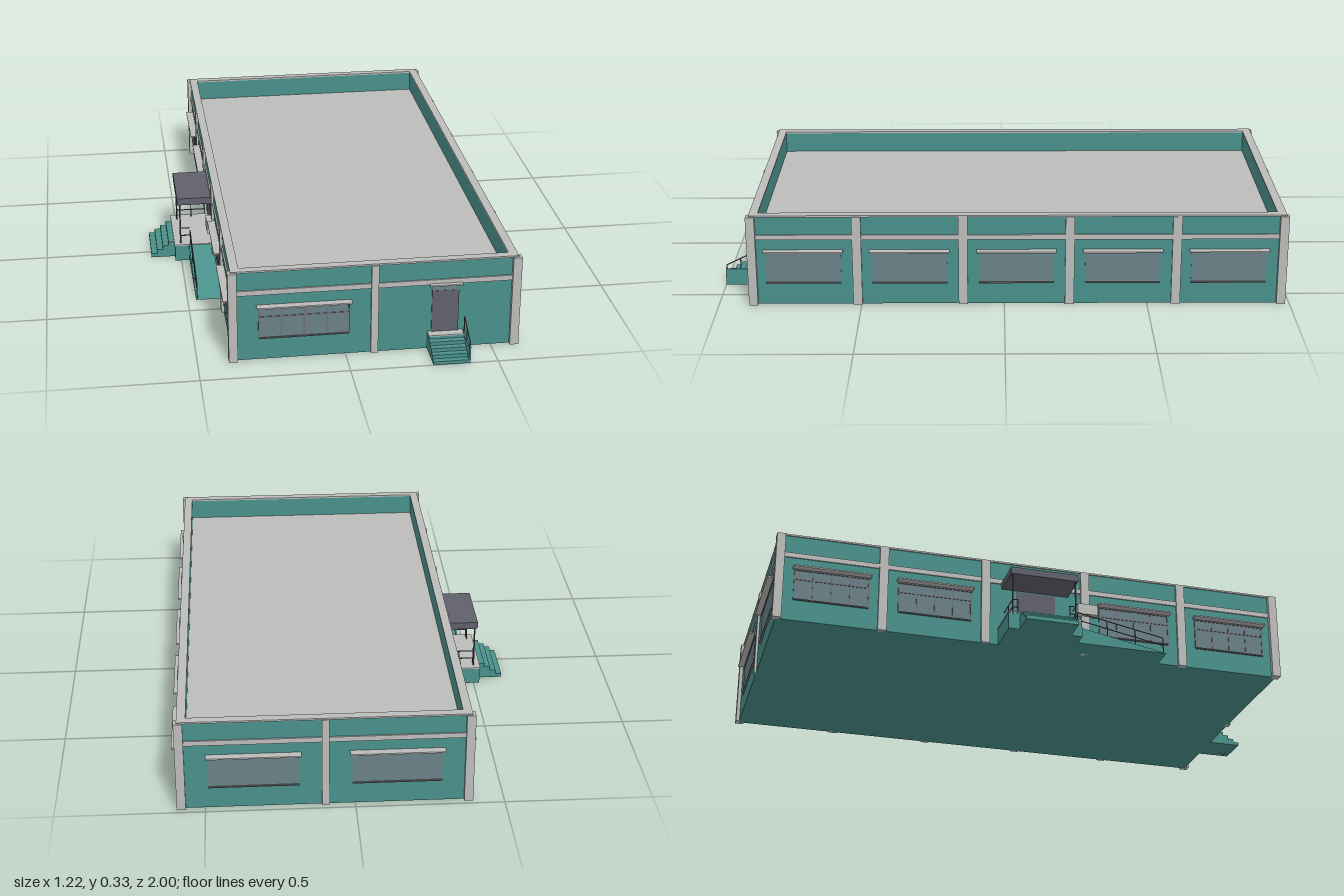
import * as THREE from 'three';

const mat = (name, color, side = THREE.FrontSide) => {
  const m = new THREE.MeshStandardMaterial({ color, side });
  m.name = name;
  return m;
};

export function createModel() {
  const teal = mat('teal wall', 0x4a918b);
  const grey = mat('light grey trim', 0xbcbdbb);
  const slate = mat('dark slate', 0x5f606b);
  const glass = mat('window glass', 0x698087);
  const frame = mat('window frame', 0x716d72);
  const rail = mat('railing', 0x55575c);

  const model = new THREE.Group();
  model.name = 'building';

  // Box given by its minimum and maximum corners
  const box = (name, m, x0, x1, y0, y1, z0, z1, parent = model) => {
    const mesh = new THREE.Mesh(new THREE.BoxGeometry(x1 - x0, y1 - y0, z1 - z0), m);
    mesh.position.set((x0 + x1) / 2, (y0 + y1) / 2, (z0 + z1) / 2);
    mesh.name = name;
    parent.add(mesh);
    return mesh;
  };
  // Thin round bar between two points
  const bar = (name, a, b, r = 0.002) => {
    const p = new THREE.Vector3(...a), q = new THREE.Vector3(...b);
    const mesh = new THREE.Mesh(new THREE.CylinderGeometry(r, r, p.distanceTo(q), 6), rail);
    mesh.position.copy(p).add(q).multiplyScalar(0.5);
    mesh.quaternion.setFromUnitVectors(new THREE.Vector3(0, 1, 0), q.sub(p).normalize());
    mesh.name = name;
    model.add(mesh);
  };
  // Outline ring lying flat, with its underside at y
  const ring = (name, m, x0, x1, z0, z1, t, y, h) => {
    box(name, m, x0, x1, y, y + h, z0, z0 + t);
    box(name, m, x0, x1, y, y + h, z1 - t, z1);
    box(name, m, x0, x0 + t, y, y + h, z0 + t, z1 - t);
    box(name, m, x1 - t, x1, y, y + h, z0 + t, z1 - t);
  };

  // Main body, roof deck and parapet
  const X0 = -0.38, X1 = 0.58, Z0 = -0.972, Z1 = 0.879;
  box('body', teal, X0, X1, 0, 0.245, Z0, Z1);
  box('roofDeck', grey, X0 + 0.02, X1 - 0.02, 0.245, 0.25, Z0 + 0.02, Z1 - 0.02);
  ring('parapet', teal, X0, X1, Z0, Z1, 0.024, 0.245, 0.08);
  ring('parapetCap', grey, X0 - 0.005, X1 + 0.005, Z0 - 0.005, Z1 + 0.005, 0.03, 0.325, 0.006);
  ring('wallBand', grey, X0 - 0.005, X1 + 0.005, Z0 - 0.005, Z1 + 0.005, 0.01, 0.241, 0.018);

  // Corner columns and pilasters
  for (const x of [-0.38, 0.58])
    for (const z of [-0.969, 0.879])
      box('cornerColumn', grey, x - 0.015, x + 0.015, 0, 0.327, z - 0.016, z + 0.015);
  for (const z of [-0.6, -0.228, 0.144, 0.513]) {
    box('pilaster', grey, X1 - 0.01, X1 + 0.009, 0, 0.326, z - 0.016, z + 0.016);
    box('pilaster', grey, X0 - 0.009, X0 + 0.01, 0, 0.326, z - 0.016, z + 0.016);
  }
  for (const z of [Z0, Z1])
    box('pilaster', grey, 0.086, 0.111, 0, 0.326, z - 0.009, z + 0.009);

  // Window facing local +z: glass, frame, sill and flat hood
  const addWindow = (x, z, turn, w, mullions) => {
    const g = new THREE.Group();
    g.name = 'window';
    g.position.set(x, 0, z);
    g.rotation.y = turn;
    const h = w / 2;
    box('glass', glass, -h, h, 0.08, 0.195, -0.002, 0.002, g);
    box('frameTop', frame, -h - 0.004, h + 0.004, 0.192, 0.197, 0, 0.005, g);
    box('frameSill', frame, -h, h, 0.078, 0.082, 0, 0.007, g);
    if (mullions) {
      for (let i = 0; i <= 4; i++) {
        const u = -h + (w * i) / 4;
        box('mullion', frame, u - 0.002, u + 0.002, 0.08, 0.195, 0, 0.004, g);
      }
      box('transom', frame, -h, h, 0.156, 0.16, 0, 0.004, g);
    }
    box('hood', grey, -h - 0.008, h + 0.008, 0.198, 0.203, 0, 0.027, g);
    model.add(g);
  };
  for (const z of [-0.783, -0.413, -0.042, 0.33, 0.7]) {
    addWindow(X1, z, Math.PI / 2, 0.262, false);
    if (z !== -0.042) addWindow(X0, z, -Math.PI / 2, 0.262, true);
  }
  addWindow(-0.14, Z1, 0, 0.304, true);
  addWindow(-0.14, Z0, Math.PI, 0.3, false);
  addWindow(0.337, Z0, Math.PI, 0.3, false);

  // Front door with its small hood
  box('frontDoor', slate, 0.293, 0.385, 0.064, 0.217, Z1, Z1 + 0.004);
  box('frontDoorLight', glass, 0.293, 0.385, 0.217, 0.24, Z1, Z1 + 0.003);
  box('frontDoorHood', grey, 0.283, 0.396, 0.24, 0.245, Z1, Z1 + 0.02);

  // Front steps, side panel and handrail
  box('frontLanding', teal, 0.28, 0.4, 0, 0.06, Z1, 0.913);
  box('frontLandingTop', grey, 0.28, 0.4, 0.06, 0.064, Z1, 0.913);
  for (let i = 0; i < 4; i++)
    box('frontStep', teal, 0.28, 0.4, 0, 0.051 - i * 0.013, 0.913 + i * 0.022, 0.935 + i * 0.0217);
  box('stepSidePanel', teal, 0.4, 0.406, 0, 0.06, Z1, 1);
  bar('frontRailPost', [0.403, 0.06, 0.995], [0.403, 0.075, 0.995]);
  bar('frontRailPost', [0.403, 0.06, 0.945], [0.403, 0.1, 0.945]);
  bar('frontRailPost', [0.403, 0.06, 0.9], [0.403, 0.122, 0.9]);
  bar('frontHandrail', [0.403, 0.075, 0.995], [0.403, 0.122, 0.9]);

  // Side porch, its steps and its door
  box('porchBase', teal, -0.522, X0, 0, 0.06, -0.18, 0.088);
  box('porchFloor', grey, -0.524, X0, 0.06, 0.065, -0.182, 0.09);
  for (let i = 0; i < 4; i++)
    box('porchStep', teal, -0.61 + i * 0.0218, -0.522, 0, 0.015 * (i + 1), -0.14, 0.048);
  box('sideDoor', slate, X0 - 0.004, X0, 0.065, 0.216, -0.115, 0.03);

  // Canopy on thin posts, with porch railings
  box('canopy', slate, -0.51, X0, 0.222, 0.248, -0.168, 0.08);
  for (const z of [-0.16, 0.072]) bar('canopyPost', [-0.5, 0.065, z], [-0.5, 0.222, z], 0.003);
  for (const y of [0.095, 0.125]) {
    bar('porchRail', [-0.5, y, -0.16], [-0.39, y, -0.16]);
    bar('porchRail', [-0.5, y, 0.072], [-0.466, y, 0.072]);
    bar('porchRail', [-0.5, y, -0.16], [-0.5, y, -0.14]);
    bar('porchRail', [-0.5, y, 0.05], [-0.5, y, 0.072]);
  }
  for (const z of [-0.14, 0.05]) bar('porchRailPost', [-0.5, 0.065, z], [-0.5, 0.125, z]);
  bar('porchRailPost', [-0.445, 0.065, -0.16], [-0.445, 0.125, -0.16]);

  // Sloping ramp along the wall
  const wedge = new THREE.Shape([[0.088, 0], [0.42, 0], [0.088, 0.063]].map(p => new THREE.Vector2(...p)));
  const rampGeo = new THREE.ExtrudeGeometry(wedge, { depth: 0.09, bevelEnabled: false });
  const ramp = new THREE.Mesh(rampGeo, teal);
  ramp.rotation.y = -Math.PI / 2;
  ramp.position.x = X0;
  ramp.name = 'ramp';
  model.add(ramp);
  const rampY = z => 0.063 * (0.42 - z) / 0.332;
  for (const z of [0.09, 0.2, 0.305, 0.41])
    bar('rampRailPost', [-0.465, rampY(z), z], [-0.465, rampY(z) + 0.06, z]);
  for (const h of [0.03, 0.06])
    bar('rampRail', [-0.465, rampY(0.09) + h, 0.09], [-0.465, rampY(0.41) + h, 0.41]);

  // Small wall unit beside the porch
  box('wallUnit', grey, -0.408, X0, 0.15, 0.19, 0.11, 0.185);

  return model;
}
